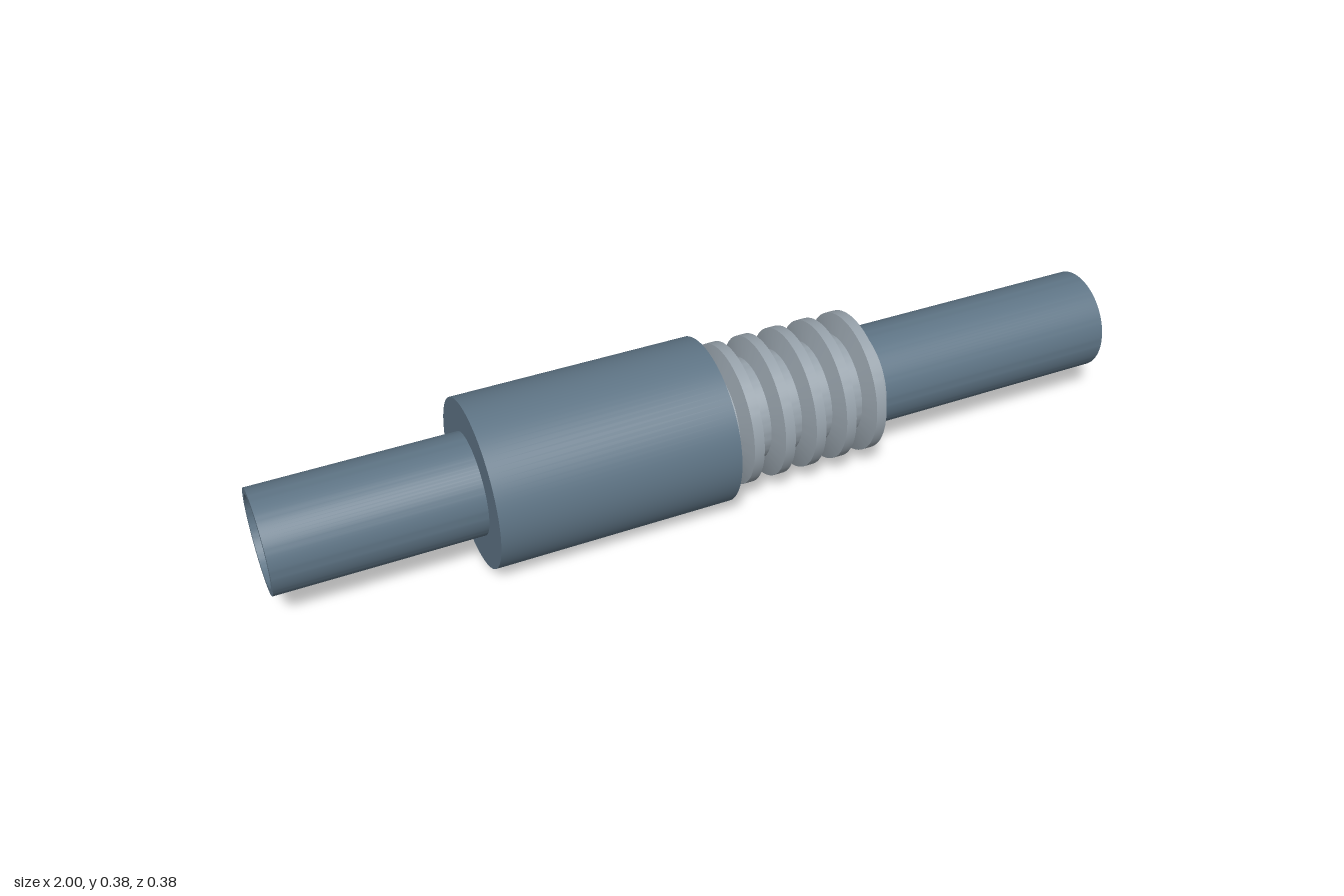
import * as THREE from 'three';
import { toCreasedNormals } from 'three/addons/utils/BufferGeometryUtils.js';

const AXIS_Y = 0.191;
const PIPE_OUT = 0.116, PIPE_IN = 0.101;
const BELLOWS_END = 0.41, PITCH = 0.0762, RIDGES = 10;
const BELLOWS_START = BELLOWS_END - PITCH * RIDGES;

// Revolves a closed profile of [radius, x] pairs around the x axis.
function revolve(name, profile, material) {
  const points = [...profile, profile[0]].map(([r, x]) => new THREE.Vector2(r, x));
  const geometry = new THREE.LatheGeometry(points, 96);
  geometry.rotateZ(-Math.PI / 2);
  const mesh = new THREE.Mesh(toCreasedNormals(geometry, 0.4), material);
  mesh.name = name;
  mesh.position.y = AXIS_Y;
  return mesh;
}

// Plain hollow tube section between two x positions.
const tube = (rIn, rOut, x0, x1) => [[rOut, x0], [rOut, x1], [rIn, x1], [rIn, x0]];

// Corrugated wall line; shift moves the whole wall inward for the inner skin.
function corrugation(shift, widen) {
  const line = [[0.118 - shift, BELLOWS_START]];
  for (let i = 0; i < RIDGES; i++) {
    const c = BELLOWS_START + (i + 0.5) * PITCH;
    line.push([0.118 - shift, c - 0.025 + widen], [0.164 - shift, c - 0.012 + widen],
      [0.164 - shift, c + 0.012 - widen], [0.118 - shift, c + 0.025 - widen]);
  }
  line.push([0.118 - shift, BELLOWS_END]);
  return line;
}

export function createModel() {
  const model = new THREE.Group();
  model.name = 'expansionJoint';
  const steel = new THREE.MeshStandardMaterial({ color: 0x5f7586 });
  const bright = new THREE.MeshStandardMaterial({ color: 0x97a2ab });

  // Pipe ends
  model.add(revolve('rightPipe', tube(PIPE_IN, PIPE_OUT, -1, BELLOWS_START), steel));
  model.add(revolve('leftPipe', tube(PIPE_IN, PIPE_OUT, BELLOWS_END, 1), steel));

  // Thin-walled bellows joining the pipes
  model.add(revolve('bellows',
    [...corrugation(0, 0), ...corrugation(0.01, 0.006).reverse()], bright));

  // Protective sleeve: closed against the pipe at one end, open at the other
  model.add(revolve('sleeve', [
    [PIPE_OUT, -0.54], [0.191, -0.54], [0.191, 0.012],
    [0.181, 0.012], [0.181, -0.53], [PIPE_OUT, -0.53],
  ], steel));

  return model;
}
